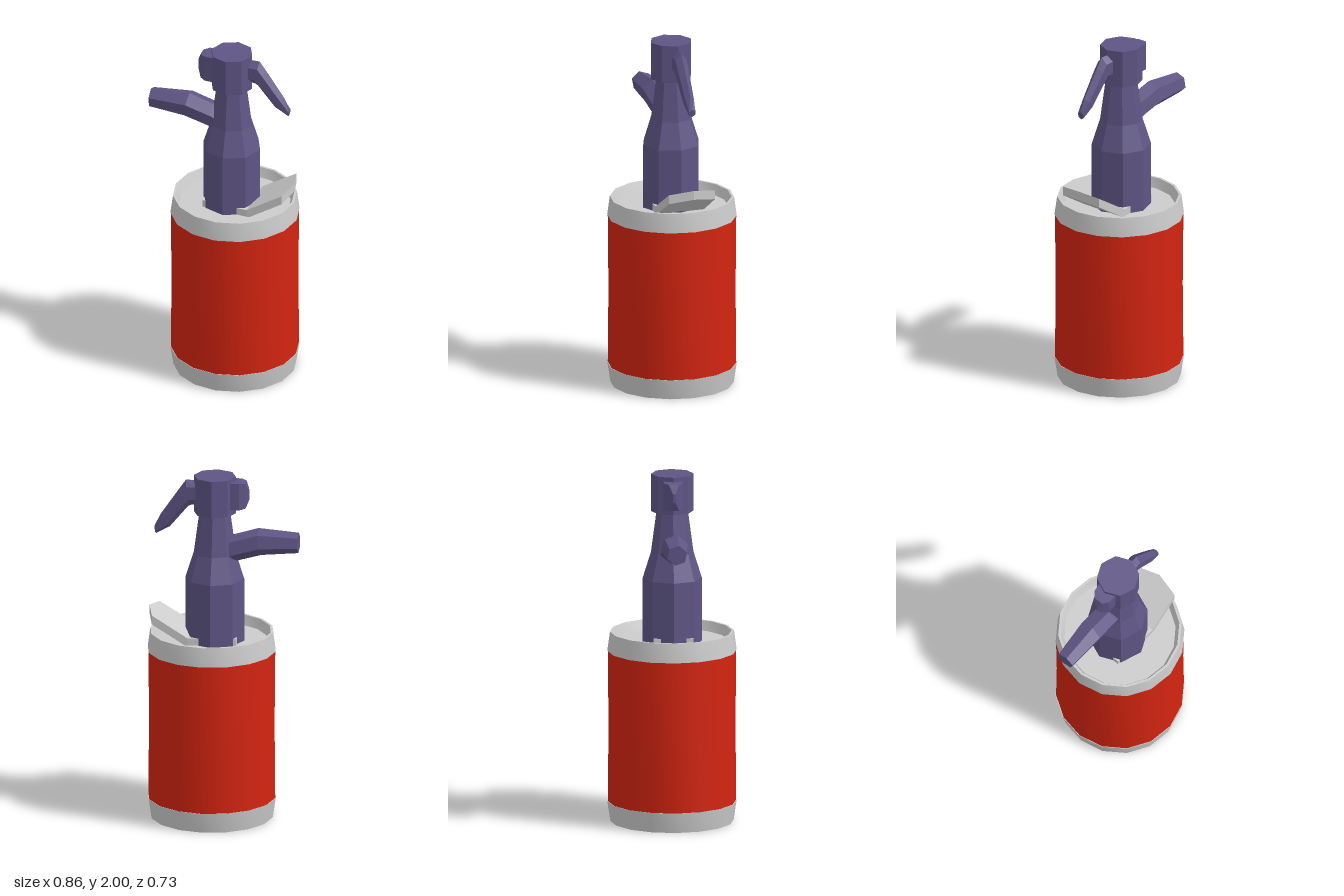
import * as THREE from 'three';
import { toCreasedNormals } from 'three/addons/utils/BufferGeometryUtils.js';

const CAN_X = 0.065, BOTTLE_X = 0.047;

const grey = new THREE.MeshStandardMaterial({ color: 0xcccccc });
const greyFlat = new THREE.MeshStandardMaterial({ color: 0xcccccc, flatShading: true });
const red = new THREE.MeshStandardMaterial({ color: 0xd42410 });
const purple = new THREE.MeshStandardMaterial({ color: 0x5f5585, flatShading: true });

function mesh(name, geometry, material) {
  const m = new THREE.Mesh(geometry, material);
  m.name = name;
  return m;
}

// Turned part from [radius, y] pairs, listed with the outside facing out
function turned(name, profile, sides, x, material) {
  const points = profile.map(([r, y]) => new THREE.Vector2(r, y));
  const geometry = toCreasedNormals(new THREE.LatheGeometry(points, sides), 0.6);
  geometry.translate(x, 0, 0);
  return mesh(name, geometry, material);
}

// Capped arm running along x; each section is [x, y, half height, half width, tilt]
function arm(name, sections, sides, turn, material) {
  const dir = Math.sign(sections[sections.length - 1][0] - sections[0][0]);
  const rings = sections.map(([x, y, ry, rz, tilt]) =>
    Array.from({ length: sides }, (_, i) => {
      const a = turn + (i / sides) * Math.PI * 2;
      return [x + tilt * Math.sin(a), y + ry * Math.sin(a), -dir * rz * Math.cos(a)];
    }));
  const pos = [];
  const tri = (a, b, c) => pos.push(...a, ...b, ...c);
  for (let s = 0; s < rings.length - 1; s++) {
    for (let i = 0; i < sides; i++) {
      const j = (i + 1) % sides;
      tri(rings[s][i], rings[s][j], rings[s + 1][j]);
      tri(rings[s][i], rings[s + 1][j], rings[s + 1][i]);
    }
  }
  const first = rings[0], last = rings[rings.length - 1];
  for (let i = 1; i < sides - 1; i++) {
    tri(first[0], first[i + 1], first[i]);
    tri(last[0], last[i], last[i + 1]);
  }
  const geometry = new THREE.BufferGeometry();
  geometry.setAttribute('position', new THREE.Float32BufferAttribute(pos, 3));
  geometry.computeVertexNormals();
  return mesh(name, geometry, material);
}

// Bent plate with a pointed, raised end
function pullTab() {
  const xs = [-0.09, 0.02, 0.18, 0.385], widths = [0.11, 0.127, 0.143, 0.138];
  const geometry = new THREE.BoxGeometry(3, 1, 2, 3, 1, 2);
  const p = geometry.attributes.position;
  for (let i = 0; i < p.count; i++) {
    const k = Math.round(p.getX(i) + 1.5), side = Math.round(p.getZ(i));
    const x = xs[k] + (k === 3 && side === 0 ? 0.035 : 0);
    const base = p.getY(i) > 0 ? 1.077 : 1.025;
    p.setXYZ(i, x, base + Math.max(0, x - 0.18) * 0.6, side * widths[k]);
  }
  geometry.computeVertexNormals();
  return mesh('pullTab', geometry, greyFlat);
}

export function createModel() {
  const model = new THREE.Group();
  model.name = 'canWithPump';

  // Can: coloured wall between two metal rims, both ends recessed
  const can = new THREE.Group();
  can.name = 'can';
  can.add(
    turned('canWall', [[0.362, 0.11], [0.358, 0.55], [0.362, 0.98]], 16, CAN_X, red),
    turned('bottomRim', [[0, 0.03], [0.32, 0.03], [0.335, 0], [0.348, 0], [0.365, 0.115], [0.358, 0.115]], 16, CAN_X, grey),
    turned('topRim', [[0.358, 0.98], [0.365, 0.98], [0.35, 1.09], [0.336, 1.09], [0.315, 1.035], [0, 1.035]], 16, CAN_X, grey),
    pullTab(),
  );

  // Pump bottle: shouldered body under a wider head
  const pump = new THREE.Group();
  pump.name = 'pumpBottle';
  pump.add(
    turned('bottleBody', [[0, 1.03], [0.167, 1.03], [0.167, 1.4], [0.12, 1.55], [0.088, 1.79]], 8, BOTTLE_X, purple),
    turned('bottleHead', [[0, 1.785], [0.12, 1.785], [0.12, 2], [0, 2]], 8, BOTTLE_X, purple),
    // Six-sided spout on the right
    arm('spout', [
      [0.03, 1.545, 0.08, 0.075, 0.025],
      [-0.07, 1.583, 0.073, 0.075, 0.015],
      [-0.21, 1.625, 0.076, 0.076, 0.01],
      [-0.43, 1.628, 0.058, 0.058, 0],
    ], 6, Math.PI / 2 - 0.2, purple),
    // Tapering trigger on the left
    arm('trigger', [
      [0.14, 1.9, 0.07, 0.038, 0],
      [0.2, 1.895, 0.074, 0.038, 0.012],
      [0.225, 1.865, 0.052, 0.038, 0.024],
      [0.33, 1.725, 0.036, 0.03, 0.026],
      [0.387, 1.668, 0.023, 0.022, 0.004],
    ], 6, Math.PI / 2, purple),
    // Wedge-shaped knob behind the head
    arm('knob', [
      [-0.03, 1.897, 0.11, 0.085, 0],
      [-0.1, 1.897, 0.11, 0.075, 0],
      [-0.13, 1.897, 0.105, 0.04, 0],
      [-0.15, 1.897, 0.035, 0.01, 0],
    ], 4, Math.PI / 4, purple),
  );

  model.add(can, pump);
  return model;
}
